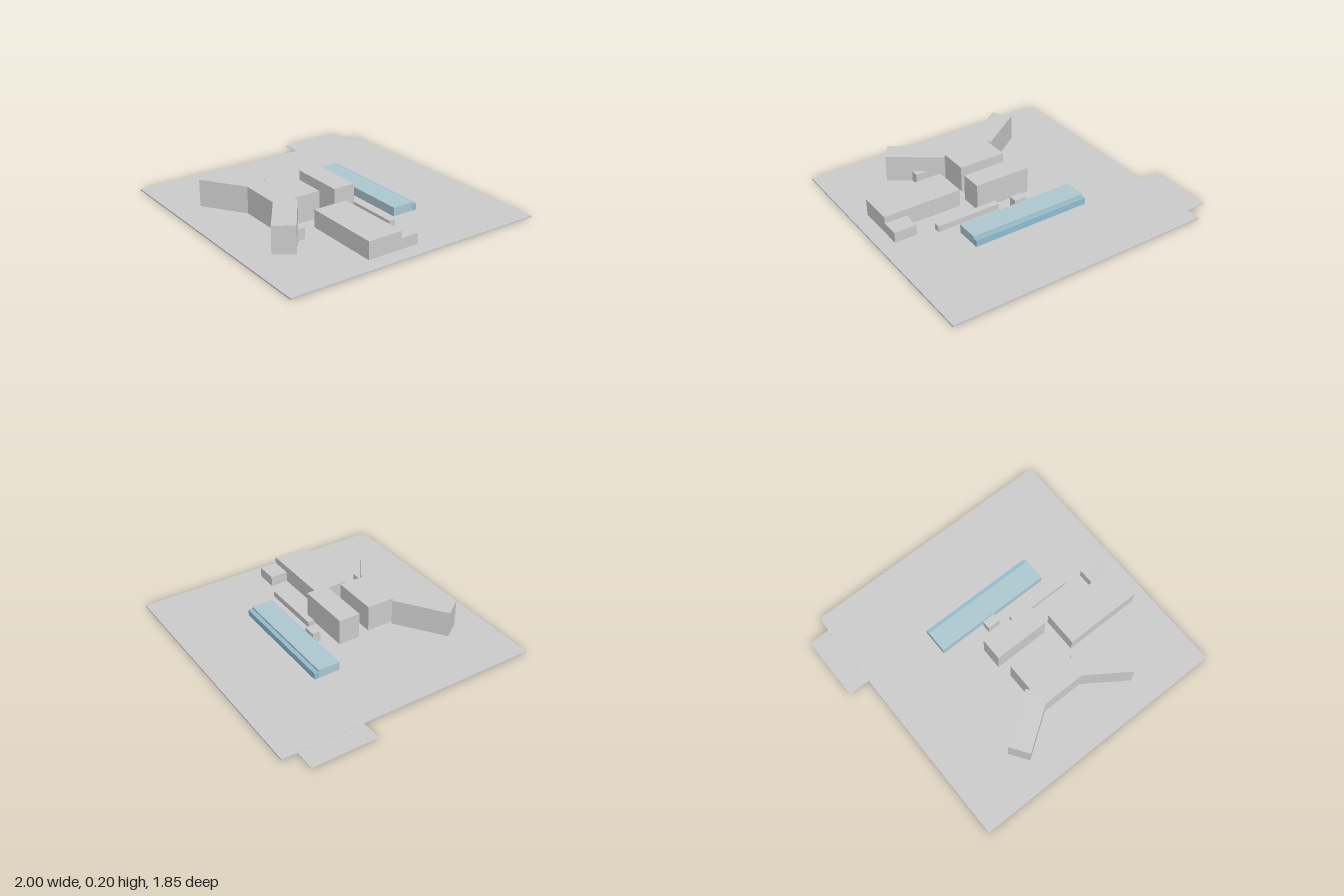
import * as THREE from 'three';

const GROUND = 0.01;
const material = (color) => new THREE.MeshStandardMaterial({ color, flatShading: true });

export function createModel() {
  const model = new THREE.Group();
  model.name = 'buildingComplex';
  const grey = material(0xcccccc);
  const paleBlue = material(0xaec8d0);
  const blue = material(0x92bdd0);

  // Box given by its extents on each axis
  const block = (name, [x0, x1], [y0, y1], [z0, z1], mat = grey) => {
    const mesh = new THREE.Mesh(new THREE.BoxGeometry(x1 - x0, y1 - y0, z1 - z0), mat);
    mesh.position.set((x0 + x1) / 2, (y0 + y1) / 2, (z0 + z1) / 2);
    mesh.name = name;
    model.add(mesh);
  };

  // Site slab and the thin pad at its side
  block('groundSlab', [-0.85, 1], [0, GROUND], [-0.925, 0.92]);
  block('sidePad', [-1, -0.85], [0.004, 0.008], [-0.82, -0.36]);

  // Rectangular buildings
  block('middleBuilding', [-0.12, 0.275], [GROUND, 0.195], [-0.05, 0.105]);
  block('eastHall', [0.34, 0.89], [GROUND, 0.13], [0.06, 0.305]);
  block('eastHallAnnex', [0.735, 0.89], [GROUND, 0.083], [-0.065, 0.06]);
  block('wingAnnex', [0.35, 0.445], [GROUND, 0.085], [0.445, 0.503]);
  block('lowBar', [0.155, 0.61], [GROUND, 0.053], [-0.12, -0.075]);
  block('smallBlock', [-0.015, 0.075], [GROUND, 0.083], [-0.19, -0.13]);

  // Long rear building with a lower strip along its back
  block('rearBuilding', [-0.345, 0.5], [GROUND, 0.07], [-0.355, -0.2], paleBlue);
  block('rearStrip', [-0.345, 0.5], [GROUND, 0.055], [-0.385, -0.355], blue);

  // Three-winged building: half outline (distance from its axis, z), mirrored
  const axis = 0.074;
  const half = [[0.168, 0.197], [0.168, 0.4], [0.188, 0.375], [0.515, 0.602], [0.43, 0.725], [0.15, 0.532]];
  const outline = [
    ...half.map(([d, z]) => new THREE.Vector2(axis + d, -z)),
    ...half.slice().reverse().map(([d, z]) => new THREE.Vector2(axis - d, -z)),
  ];
  const geometry = new THREE.ExtrudeGeometry(new THREE.Shape(outline), {
    depth: 0.195 - GROUND, bevelEnabled: false,
  });
  geometry.rotateX(-Math.PI / 2);
  const winged = new THREE.Mesh(geometry, grey);
  winged.position.y = GROUND;
  winged.name = 'threeWingedBuilding';
  model.add(winged);

  return model;
}
